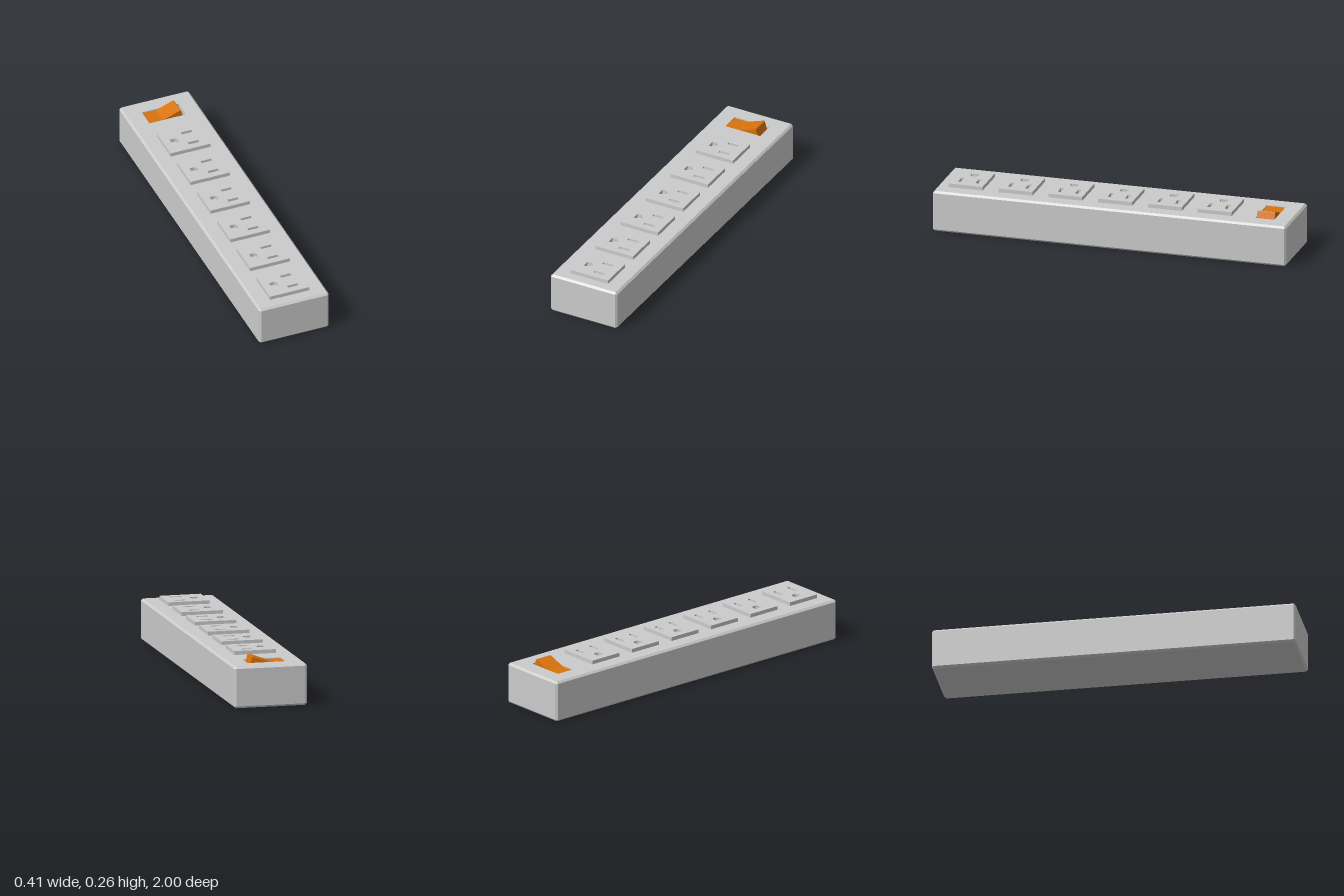
import * as THREE from 'three';

const HX = 0.205, HZ = 1, TOP = 0.229, CH = 0.011;
const SWITCH = { x: 0.107, z0: -0.905, z1: -0.798, floor: 0.19 };

const grey = new THREE.MeshStandardMaterial({ color: 0xcccccc, flatShading: true });
const greyInside = new THREE.MeshStandardMaterial({ color: 0xcccccc, flatShading: true, side: THREE.DoubleSide });
const orange = new THREE.MeshStandardMaterial({ color: 0xd9730d, flatShading: true });

function add(parent, name, geometry, material) {
  const mesh = new THREE.Mesh(geometry, material);
  mesh.name = name;
  parent.add(mesh);
  return mesh;
}

// Rectangle outline, usable as a shape or a hole
function rect(x0, y0, x1, y1, Type = THREE.Shape) {
  return new Type([[x0, y0], [x1, y0], [x1, y1], [x0, y1]].map(p => new THREE.Vector2(...p)));
}

// Chamfered shell: four rings of eight points, open at the top
function shellGeometry() {
  const positions = [], indices = [];
  const ring = (y, cap) => {
    const a = HX - CH, b = HZ - CH, X = cap ? a : HX, Z = cap ? b : HZ;
    [[X, b], [X, -b], [a, -Z], [-a, -Z], [-X, -b], [-X, b], [-a, Z], [a, Z]]
      .forEach(([x, z]) => positions.push(x, y, z));
  };
  ring(0, true);
  ring(CH, false);
  ring(TOP - CH, false);
  ring(TOP, true);
  for (let r = 0; r < 3; r++) {
    for (let i = 0; i < 8; i++) {
      const a = r * 8 + i, b = r * 8 + (i + 1) % 8;
      indices.push(a, b, b + 8, a, b + 8, a + 8);
    }
  }
  for (let i = 1; i < 7; i++) indices.push(0, i + 1, i); // underside
  const g = new THREE.BufferGeometry();
  g.setAttribute('position', new THREE.Float32BufferAttribute(positions, 3));
  g.setIndex(indices);
  g.computeVertexNormals();
  return g;
}

// Outlet plate with two blade slots and a D-shaped earth hole
function outletGeometry() {
  const plate = rect(-0.116, -0.096, 0.116, 0.096);
  for (const y of [-0.048, 0.05]) {
    plate.holes.push(rect(0.006, y - 0.009, 0.069, y + 0.009, THREE.Path));
  }
  const earth = new THREE.Path();
  earth.moveTo(-0.074, -0.022);
  earth.lineTo(-0.053, -0.022);
  earth.absarc(-0.053, 0, 0.022, -Math.PI / 2, Math.PI / 2, false);
  earth.lineTo(-0.074, 0.022);
  earth.closePath();
  plate.holes.push(earth);
  return new THREE.ExtrudeGeometry(plate, { depth: 0.021, bevelEnabled: false, curveSegments: 10 })
    .rotateX(-Math.PI / 2);
}

export function createModel() {
  const model = new THREE.Group();
  model.name = 'powerStrip';

  // Housing
  const body = new THREE.Group();
  body.name = 'housing';
  model.add(body);
  add(body, 'housingShell', shellGeometry(), grey);
  const lid = rect(CH - HX, CH - HZ, HX - CH, HZ - CH);
  lid.holes.push(rect(-SWITCH.x, -SWITCH.z1, SWITCH.x, -SWITCH.z0, THREE.Path));
  add(body, 'housingTop', new THREE.ShapeGeometry(lid).rotateX(-Math.PI / 2), grey).position.y = TOP;

  // Switch recess: walls and floor
  const depth = TOP - SWITCH.floor, length = SWITCH.z1 - SWITCH.z0, zMid = (SWITCH.z0 + SWITCH.z1) / 2;
  const walls = new THREE.ExtrudeGeometry(
    rect(-SWITCH.x, -length / 2, SWITCH.x, length / 2), { depth, bevelEnabled: false });
  walls.rotateX(-Math.PI / 2);
  // keep the side walls only
  const sides = walls.groups[1];
  walls.clearGroups();
  walls.setDrawRange(sides.start, sides.count);
  const wallGeometry = new THREE.BufferGeometry();
  const all = walls.getAttribute('position').array;
  wallGeometry.setAttribute('position', new THREE.Float32BufferAttribute(
    all.slice(sides.start * 3, (sides.start + sides.count) * 3), 3));
  wallGeometry.computeVertexNormals();
  add(body, 'switchRecessWalls', wallGeometry, greyInside).position.set(0, SWITCH.floor, zMid);
  add(body, 'switchRecessFloor', new THREE.PlaneGeometry(SWITCH.x * 2, length).rotateX(-Math.PI / 2), grey)
    .position.set(0, SWITCH.floor, zMid);

  // Rocker switch, tipped up on its left side
  const profile = new THREE.Shape([
    [-0.105, 0.192], [0.1, 0.192], [0.079, 0.259], [0.075, 0.262], [-0.015, 0.229], [-0.03, 0.225], [-0.105, 0.226],
  ].map(p => new THREE.Vector2(...p)));
  add(model, 'rockerSwitch', new THREE.ExtrudeGeometry(profile, { depth: 0.1, bevelEnabled: false }), orange)
    .position.z = zMid - 0.05;

  // Row of six outlets
  const outlet = outletGeometry();
  for (let i = 0; i < 6; i++) {
    add(model, 'outlet' + (i + 1), outlet, grey).position.set(0, TOP, -0.571 + i * 0.2818);
  }
  return model;
}
